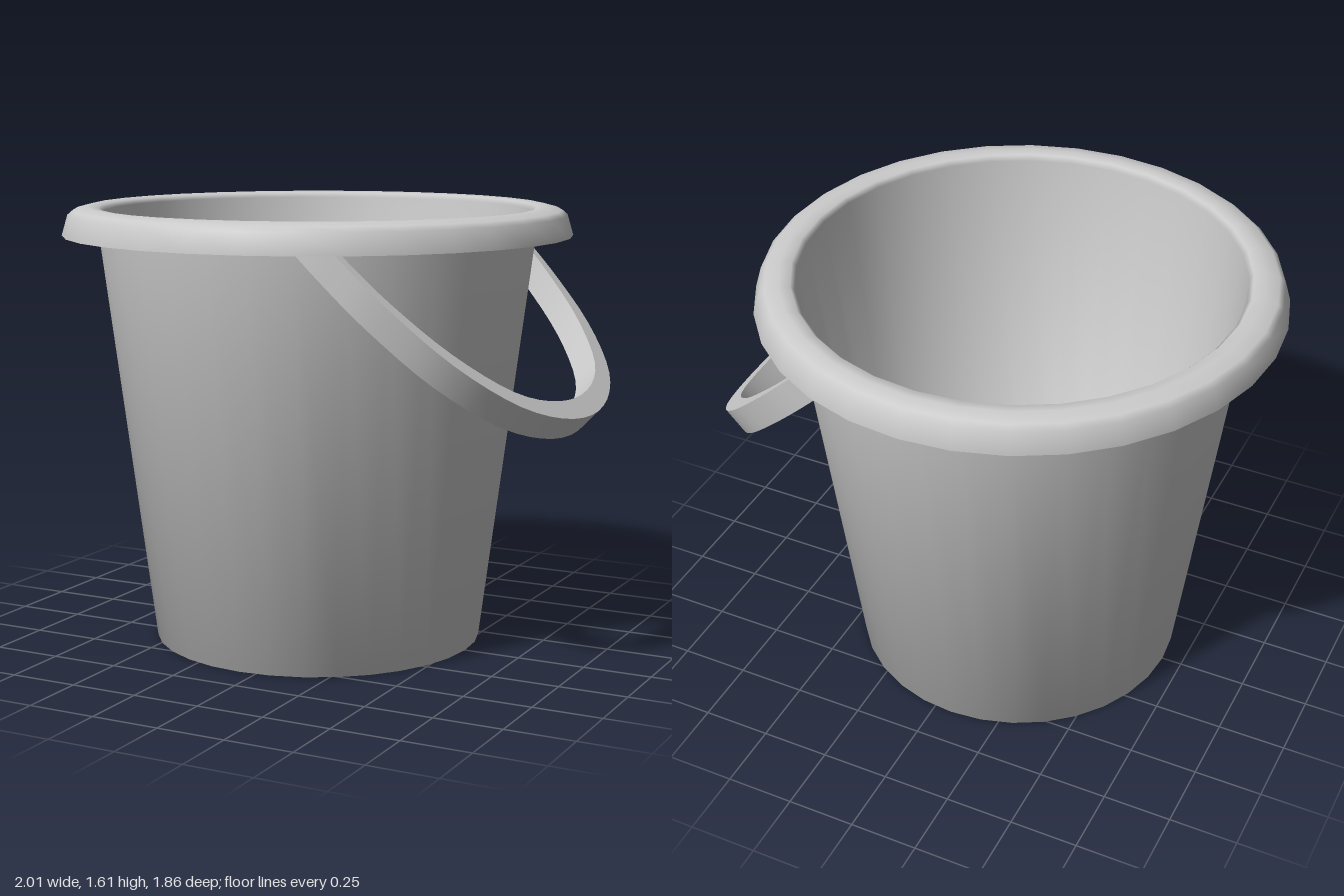
import * as THREE from 'three';
import { toCreasedNormals } from 'three/addons/utils/BufferGeometryUtils.js';

const material = new THREE.MeshStandardMaterial({ color: 0xcccccc, side: THREE.DoubleSide });
const vectors = (points) => points.map(([x, y]) => new THREE.Vector2(x, y));

// Thin-walled tapered pail with a rolled, hollow-underneath rim
function createPail() {
  const profile = vectors([
    [0, 0], [0.607, 0], [0.797, 1.5], [0.805, 1.565],   // floor and outer wall
    [0.84, 1.59], [0.89, 1.57], [0.918, 1.505],         // underside of the rim
    [0.932, 1.505], [0.91, 1.58], [0.89, 1.597], [0.84, 1.61], [0.8, 1.605], [0.785, 1.588], // rim top
    [0.592, 0.02], [0, 0.02],                           // inner wall and floor
  ]);
  const pail = new THREE.Mesh(new THREE.LatheGeometry(profile, 32), material);
  pail.name = 'pail';
  pail.position.x = -0.067;
  return pail;
}

// Flat carrying band, drawn as a U and tipped down over the side
function createHandle() {
  const outerHalf = [[0.765, 0.96], [0.76, 0.82], [0.73, 0.6], [0.63, 0.33], [0.43, 0.11], [0.15, 0]];
  const innerHalf = [[0.725, 0.96], [0.72, 0.82], [0.685, 0.62], [0.58, 0.375], [0.39, 0.17], [0.14, 0.08]];
  const sweep = (half) => {
    const mirrored = half.map(([u, v]) => [-u, v]).reverse();
    return new THREE.SplineCurve(vectors([...half, ...mirrored])).getPoints(44);
  };
  const shape = new THREE.Shape([...sweep(outerHalf), ...sweep(innerHalf).reverse()]);
  const geometry = new THREE.ExtrudeGeometry(shape, { depth: 0.105, bevelEnabled: false });
  const handle = new THREE.Mesh(toCreasedNormals(geometry, 0.6), material);
  handle.name = 'handle';

  // Band plane: across = z, along = up toward the rim, depth = down and inward
  const tilt = THREE.MathUtils.degToRad(44);
  const along = new THREE.Vector3(-Math.cos(tilt), Math.sin(tilt), 0);
  const across = new THREE.Vector3(0, 0, 1);
  const depth = across.clone().cross(along);
  handle.quaternion.setFromRotationMatrix(new THREE.Matrix4().makeBasis(across, along, depth));
  handle.position.set(0.998, 0.922, 0);
  return handle;
}

export function createModel() {
  const bucket = new THREE.Group();
  bucket.name = 'bucket';
  bucket.add(createPail(), createHandle());
  return bucket;
}
